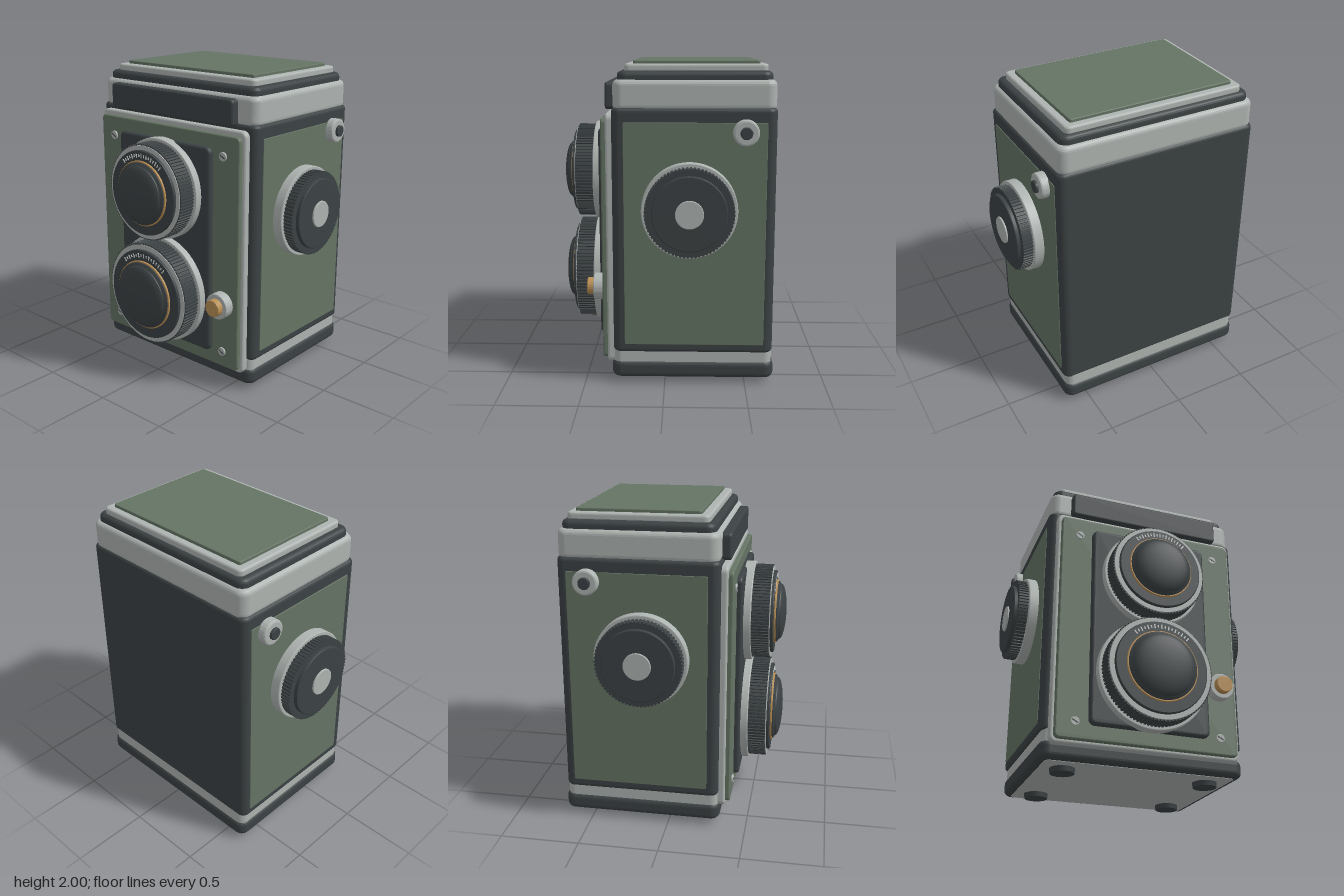
import * as THREE from 'three';
import { toCreasedNormals } from 'three/addons/utils/BufferGeometryUtils.js';

const material = (name, color) => {
  const m = new THREE.MeshStandardMaterial({ color });
  m.name = name;
  return m;
};

export function createModel() {
  const model = new THREE.Group();
  model.name = 'twinLensCamera';
  const dark = material('charcoal', 0x3c4244);
  const silver = material('satin silver', 0xaeb4b1);
  const green = material('green leather', 0x657464);
  const brass = material('brass', 0xb88f55);
  const pale = material('pale scale marks', 0xc8cdca);

  const add = (parent, name, geometry, mat, x = 0, y = 0, z = 0) => {
    const mesh = new THREE.Mesh(geometry, mat);
    mesh.name = name;
    mesh.position.set(x, y, z);
    parent.add(mesh);
    return mesh;
  };

  // Rounded rectangle extruded along +z from z = 0 to depth, with rounded rims
  const plate = (w, h, depth, r, bevel) => {
    const x = w / 2 - bevel, y = h / 2 - bevel;
    const c = Math.max(r - bevel, 0.003);
    const s = new THREE.Shape();
    s.moveTo(-x + c, -y);
    s.lineTo(x - c, -y);
    s.absarc(x - c, -y + c, c, -Math.PI / 2, 0);
    s.lineTo(x, y - c);
    s.absarc(x - c, y - c, c, 0, Math.PI / 2);
    s.lineTo(-x + c, y);
    s.absarc(-x + c, y - c, c, Math.PI / 2, Math.PI);
    s.lineTo(-x, -y + c);
    s.absarc(-x + c, -y + c, c, Math.PI, Math.PI * 1.5);
    return new THREE.ExtrudeGeometry(s, {
      depth: depth - 2 * bevel, bevelThickness: bevel, bevelSize: bevel,
      bevelSegments: 5, curveSegments: 8,
    }).translate(0, 0, bevel);
  };

  // Horizontal layer of the case between two heights and two depths
  const layer = (name, mat, halfW, z0, z1, y0, y1, r, bevel) => {
    const g = plate(halfW * 2, z1 - z0, y1 - y0, r, bevel).rotateX(-Math.PI / 2);
    return add(model, name, g, mat, 0, y0, (z0 + z1) / 2);
  };

  // Turned part about the z axis from [radius, z] points
  const turned = (points) => toCreasedNormals(
    new THREE.LatheGeometry(points.map(([r, z]) => new THREE.Vector2(r, z)), 64)
      .rotateX(Math.PI / 2), 0.3);

  // Simple disc from z0 to z1 with a small softened front edge
  const disc = (r, z0, z1, b = 0.006) => turned([
    [r, z0], [r, z1 - b], [r - b * 0.3, z1 - b * 0.3], [r - b, z1], [0, z1]]);

  // Finely ribbed grip ring
  const grip = (r, z0, z1, teeth) => {
    const pts = [];
    for (let i = 0; i < teeth; i++) {
      [[0, r - 0.007], [0.3, r - 0.007], [0.4, r], [0.9, r]].forEach(([t, q]) => {
        const a = (i + t) / teeth * Math.PI * 2;
        pts.push(new THREE.Vector2(Math.cos(a) * q, Math.sin(a) * q));
      });
    }
    return new THREE.ExtrudeGeometry(new THREE.Shape(pts), { depth: z1 - z0, bevelEnabled: false })
      .translate(0, 0, z0);
  };

  // Case layers
  layer('base', dark, 0.657, -0.68, 0.33, 0.035, 0.148, 0.06, 0.035);
  layer('bottomPlate', silver, 0.612, -0.635, 0.285, 0.031, 0.04, 0.03, 0.002);
  layer('lowerTrim', silver, 0.645, -0.668, 0.32, 0.11, 0.24, 0.05, 0.012);
  layer('body', dark, 0.66, -0.67, 0.32, 0.205, 1.725, 0.05, 0.025);
  layer('upperTrim', silver, 0.649, -0.666, 0.312, 1.705, 1.89, 0.06, 0.035);
  layer('hood', dark, 0.625, -0.642, 0.285, 1.85, 1.94, 0.055, 0.03);
  layer('lidTrim', silver, 0.582, -0.615, 0.245, 1.93, 1.98, 0.035, 0.015);
  layer('lidLeather', green, 0.535, -0.57, 0.192, 1.97, 2.0, 0.015, 0.006);

  // Feet
  for (const x of [-0.47, 0.47]) for (const z of [0.14, -0.495]) {
    add(model, 'foot', new THREE.CylinderGeometry(0.08, 0.075, 0.04, 32), dark, x, 0.02, z);
  }

  // Front plates
  add(model, 'frontFrame', plate(1.23, 1.57, 0.06, 0.04, 0.015), silver, 0, 0.905, 0.3);
  add(model, 'frontLeather', plate(1.185, 1.515, 0.05, 0.03, 0.01), green, 0, 0.9, 0.34);
  add(model, 'lensBoard', plate(0.78, 1.34, 0.05, 0.04, 0.018), dark, 0, 0.905, 0.375);
  add(model, 'namePlate', plate(1.035, 0.165, 0.065, 0.025, 0.015), dark, 0, 1.788, 0.302);

  // Lenses: flange, ribbed ring, face, brass ring, glass cap and scale ticks
  const lens = (name, y, s) => {
    const g = new THREE.Group();
    g.name = name;
    g.position.y = y;
    model.add(g);
    add(g, 'flange', disc(0.358 * s, 0.41, 0.472), silver);
    add(g, 'focusGrip', grip(0.338 * s, 0.47, 0.585, 90), dark);
    add(g, 'faceTrim', turned([[0.328 * s, 0.584], [0.328 * s, 0.59], [0.29 * s, 0.59]]), silver);
    add(g, 'face', disc(0.297 * s, 0.58, 0.61), dark);
    add(g, 'brassRing', disc(0.228 * s, 0.605, 0.622, 0.003), brass);
    const dome = [[0.219 * s, 0.615], [0.219 * s, 0.628], [0.2 * s, 0.64]];
    for (let i = 1; i <= 10; i++) {
      const a = i / 10 * Math.PI / 2;
      dome.push([0.2 * s * Math.cos(a), 0.64 + 0.04 * Math.sin(a)]);
    }
    add(g, 'glassCap', turned(dome), dark);
    for (let i = -8; i <= 8; i++) {
      const a = i / 8 * 0.7;
      const h = i % 2 === 0 ? 0.028 : 0.018, r = 0.262 * s;
      const tick = add(g, 'scaleTick', new THREE.BoxGeometry(0.008, h, 0.004), pale,
        Math.sin(a) * r, Math.cos(a) * r, 0.611);
      tick.rotation.z = -a;
    }
  };
  lens('viewingLens', 1.26, 0.913);
  lens('takingLens', 0.582, 1);

  // Shutter release
  add(model, 'releaseCollar', disc(0.084, 0.38, 0.453), silver, 0.472, 0.58);
  add(model, 'releaseButton', disc(0.055, 0.44, 0.495), brass, 0.472, 0.58);

  // Slotted screws
  for (const x of [-0.472, 0.472]) for (const y of [0.25, 1.53]) {
    add(model, 'screw', disc(0.028, 0.38, 0.4, 0.004), silver, x, y);
    add(model, 'screwSlot', new THREE.BoxGeometry(0.042, 0.007, 0.004), dark, x, y, 0.4)
      .rotation.z = -0.5;
  }

  // Side leather, knobs and strap lugs, each side turned outwards
  for (const side of [-1, 1]) {
    const g = new THREE.Group();
    g.name = side > 0 ? 'leftSide' : 'rightSide';
    g.rotation.y = side * Math.PI / 2;
    model.add(g);
    const across = (z) => -side * z;
    add(g, 'sideLeather', plate(0.86, 1.38, 0.012, 0.008, 0.003), green, across(-0.182), 0.95, 0.653);
    const knob = new THREE.Group();
    knob.name = 'windingKnob';
    knob.position.set(across(-0.15), 1.117, 0);
    g.add(knob);
    add(knob, 'knobFlange', disc(0.29, 0.65, 0.727), silver);
    add(knob, 'knobGrip', grip(0.269, 0.72, 0.79, 72), dark);
    add(knob, 'knobFace', disc(0.226, 0.78, 0.815), dark);
    add(knob, 'knobHub', disc(0.085, 0.81, 0.826, 0.004), silver);
    add(g, 'strapLug', disc(0.078, 0.65, 0.715, 0.012), silver, across(-0.482), 1.583);
    add(g, 'strapPin', disc(0.037, 0.7, 0.732), dark, across(-0.482), 1.583);
  }
  return model;
}
